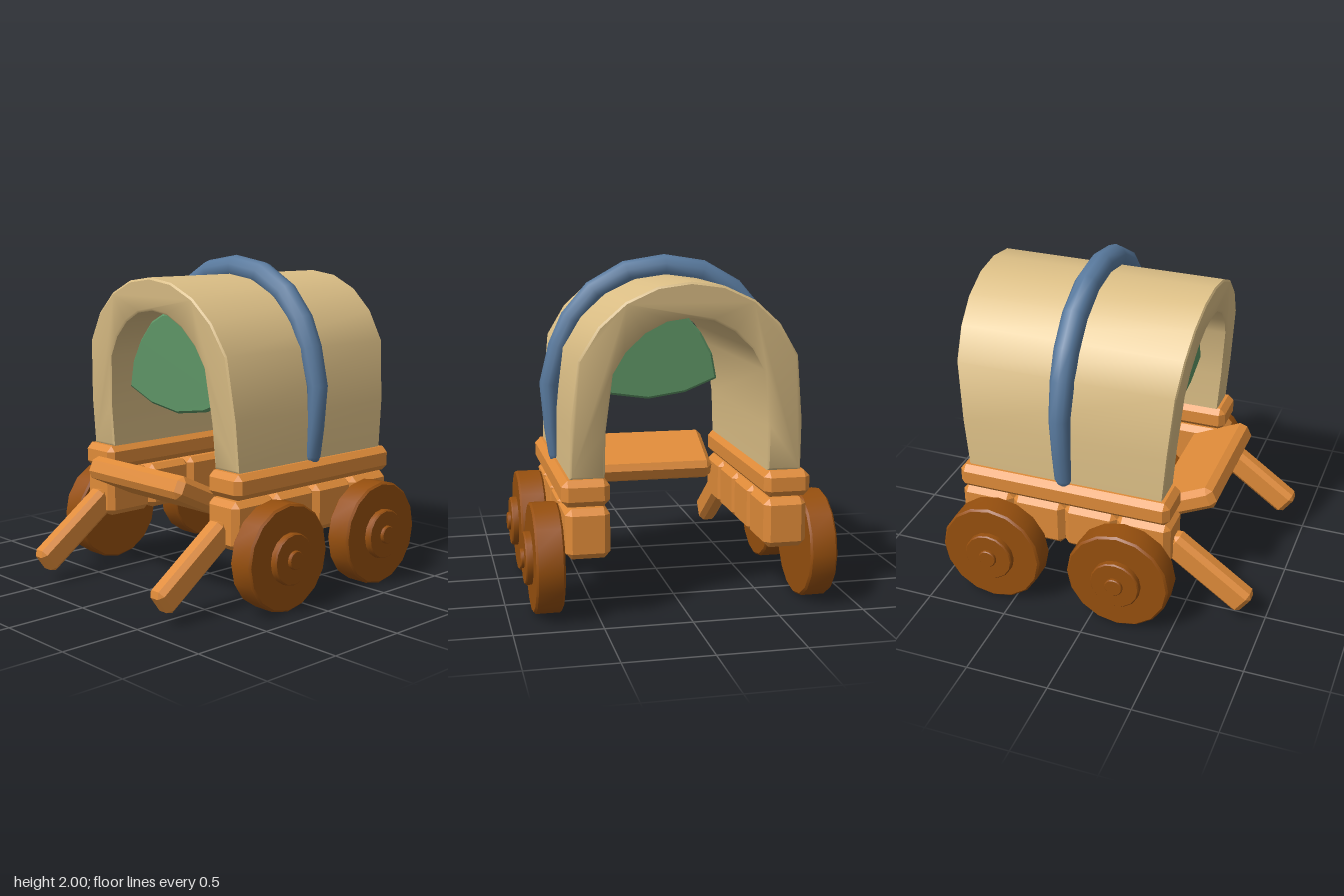
import * as THREE from 'three';
import { toCreasedNormals } from 'three/addons/utils/BufferGeometryUtils.js';
import { ConvexGeometry } from 'three/addons/geometries/ConvexGeometry.js';

const material = (name, color) => {
  const m = new THREE.MeshStandardMaterial({ color });
  m.name = name;
  return m;
};

// Box with chamfered edges
function chamferBox(w, h, d, c) {
  const pts = [];
  for (const x of [-1, 1]) for (const y of [-1, 1]) for (const z of [-1, 1]) {
    for (let k = 0; k < 3; k++) {
      pts.push(new THREE.Vector3(
        x * (w / 2 - (k === 0 ? 0 : c)),
        y * (h / 2 - (k === 1 ? 0 : c)),
        z * (d / 2 - (k === 2 ? 0 : c))));
    }
  }
  return new ConvexGeometry(pts);
}

// Mirrors a half outline (from +x side to the centre line) across x = 0
const mirrorHalf = (half) => [
  ...half,
  ...half.slice(0, -1).reverse().map(([x, ...rest]) => [-x, ...rest]),
];
const toV2 = (list) => list.map(([x, y]) => new THREE.Vector2(x, y));

// Arched cloth cover whose ends flare outward toward the top
function coverGeometry() {
  const b = 0.012;
  const outer = mirrorHalf([[0.66, 0.81], [0.655, 1.1], [0.615, 1.47], [0.505, 1.65],
    [0.36, 1.78], [0.185, 1.86], [0, 1.885]]);
  const inner = mirrorHalf([[0.465, 0.81], [0.462, 1.07], [0.425, 1.39], [0.355, 1.51],
    [0.25, 1.61], [0.13, 1.672], [0, 1.69]]);
  const shape = new THREE.Shape(toV2([...outer, ...inner.reverse()]));
  const geo = new THREE.ExtrudeGeometry(shape, {
    depth: 2 - 2 * b, bevelEnabled: true, bevelThickness: b, bevelSize: b,
    bevelOffset: -b, bevelSegments: 1,
  });
  geo.translate(0, 0, -1 + b);
  const p = geo.attributes.position;
  for (let i = 0; i < p.count; i++) {
    const halfLength = 0.615 + 0.09 * (p.getY(i) - 0.81) / 1.07;
    p.setZ(i, -0.225 + p.getZ(i) * halfLength);
  }
  return toCreasedNormals(geo, 0.6);
}

// Hoop: elliptical sections [x, y, radial half, z half] swept over the cover
function hoopGeometry() {
  const path = mirrorHalf([[0.66, 0.785, 0, 0], [0.66, 0.79, 0.025, 0.035],
    [0.665, 0.83, 0.035, 0.052], [0.68, 1.0, 0.045, 0.056], [0.688, 1.25, 0.06, 0.063],
    [0.628, 1.47, 0.066, 0.071], [0.554, 1.627, 0.07, 0.074], [0.418, 1.782, 0.073, 0.075],
    [0.224, 1.89, 0.075, 0.075], [0, 1.925, 0.075, 0.075]]);
  const sides = 10, pos = [], index = [];
  path.forEach(([x, y, r, w], i) => {
    const a = path[Math.max(i - 1, 0)], b = path[Math.min(i + 1, path.length - 1)];
    const t = new THREE.Vector2(b[0] - a[0], b[1] - a[1]).normalize();
    for (let j = 0; j < sides; j++) {
      const u = j / sides * Math.PI * 2, k = r * Math.cos(u);
      pos.push(x + t.y * k, y - t.x * k, -0.225 + w * Math.sin(u));
      if (i < path.length - 1) {
        const j2 = (j + 1) % sides, p = i * sides, q = p + sides;
        index.push(p + j, q + j, p + j2, p + j2, q + j, q + j2);
      }
    }
  });
  const geo = new THREE.BufferGeometry();
  geo.setAttribute('position', new THREE.Float32BufferAttribute(pos, 3));
  geo.setIndex(index);
  geo.computeVertexNormals();
  return geo;
}

// Wheel with stepped hub, axis along +x, inner face at x = 0
function wheelGeometry() {
  const profile = [[0, 0], [0.305, 0], [0.317, 0.012], [0.317, 0.148], [0.305, 0.16],
    [0.152, 0.16], [0.152, 0.192], [0.145, 0.2], [0.055, 0.2], [0.055, 0.215],
    [0.05, 0.22], [0, 0.22]];
  const geo = new THREE.LatheGeometry(toV2(profile), 16);
  geo.rotateZ(-Math.PI / 2);
  return toCreasedNormals(geo, 0.6);
}

export function createModel() {
  const group = new THREE.Group();
  group.name = 'coveredWagon';
  const wood = material('orange wood', 0xdf8b39);
  const darkWood = material('dark wheel wood', 0x964f0e);
  const cloth = material('cream cloth', 0xdcbf86);
  const blue = material('blue hoop', 0x58799d);
  const green = material('green curtain', 0x5d9465);

  const add = (name, geo, mat, x = 0, y = 0, z = 0, rx = 0) => {
    const mesh = new THREE.Mesh(geo, mat);
    mesh.name = name;
    mesh.position.set(x, y, z);
    mesh.rotation.x = rx;
    group.add(mesh);
    return mesh;
  };

  add('cover', coverGeometry(), cloth);
  add('hoop', hoopGeometry(), blue);

  // Curtain hanging inside, behind the front opening
  const curtainShape = new THREE.Shape(toV2(mirrorHalf([[0, 1.06], [0.24, 1.095],
    [0.45, 1.18], [0.42, 1.34], [0.345, 1.48], [0.24, 1.6], [0.13, 1.655], [0, 1.675]]
    .reverse()).slice(0, -1).filter(([x, y]) => y < 1.67)));
  curtainShape.curves.length = 0;
  const right = [[0, 1.06], [0.24, 1.095], [0.45, 1.18], [0.42, 1.34], [0.345, 1.48],
    [0.24, 1.6], [0.13, 1.655], [0, 1.675]];
  const left = right.slice(1, -1).reverse().map(([x, y]) => [-x, y]);
  curtainShape.setFromPoints(toV2([...right, ...left]));
  add('curtain', new THREE.ExtrudeGeometry(curtainShape, {
    depth: 0.02, bevelEnabled: true, bevelThickness: 0.012, bevelSize: 0.014,
    bevelOffset: -0.014, bevelSegments: 1,
  }), green, 0, 0, 0.24);

  // Tilted foot board across the front
  add('footBoard', chamferBox(0.86, 0.14, 0.41, 0.035), wood, 0, 0.645, 0.44, -0.44);

  const rail = chamferBox(0.27, 0.15, 1.33, 0.035);
  const block = chamferBox(0.25, 0.285, 0.333, 0.035);
  const shaft = chamferBox(0.12, 0.17, 0.6, 0.03);
  const wheel = wheelGeometry();
  for (const s of [1, -1]) {
    const side = s > 0 ? 'left' : 'right';
    add(side + 'Rail', rail, wood, s * 0.575, 0.735, -0.225);
    for (let i = 0; i < 4; i++) {
      add(side + 'SideBlock' + (i + 1), block, wood, s * 0.565, 0.508, 0.275 - i * 0.3333);
    }
    add(side + 'Shaft', shaft, wood, s * 0.55, 0.305, 0.645, 0.625);
    for (const [end, z] of [['Front', 0.177], ['Rear', -0.633]]) {
      const mesh = add(side + end + 'Wheel', wheel, darkWood, s * 0.7, 0.322, z);
      if (s < 0) mesh.rotation.y = Math.PI;
    }
  }

  // Centre on the ground
  const box = new THREE.Box3().setFromObject(group);
  group.children.forEach((m) => { m.position.y -= box.min.y; });
  return group;
}
